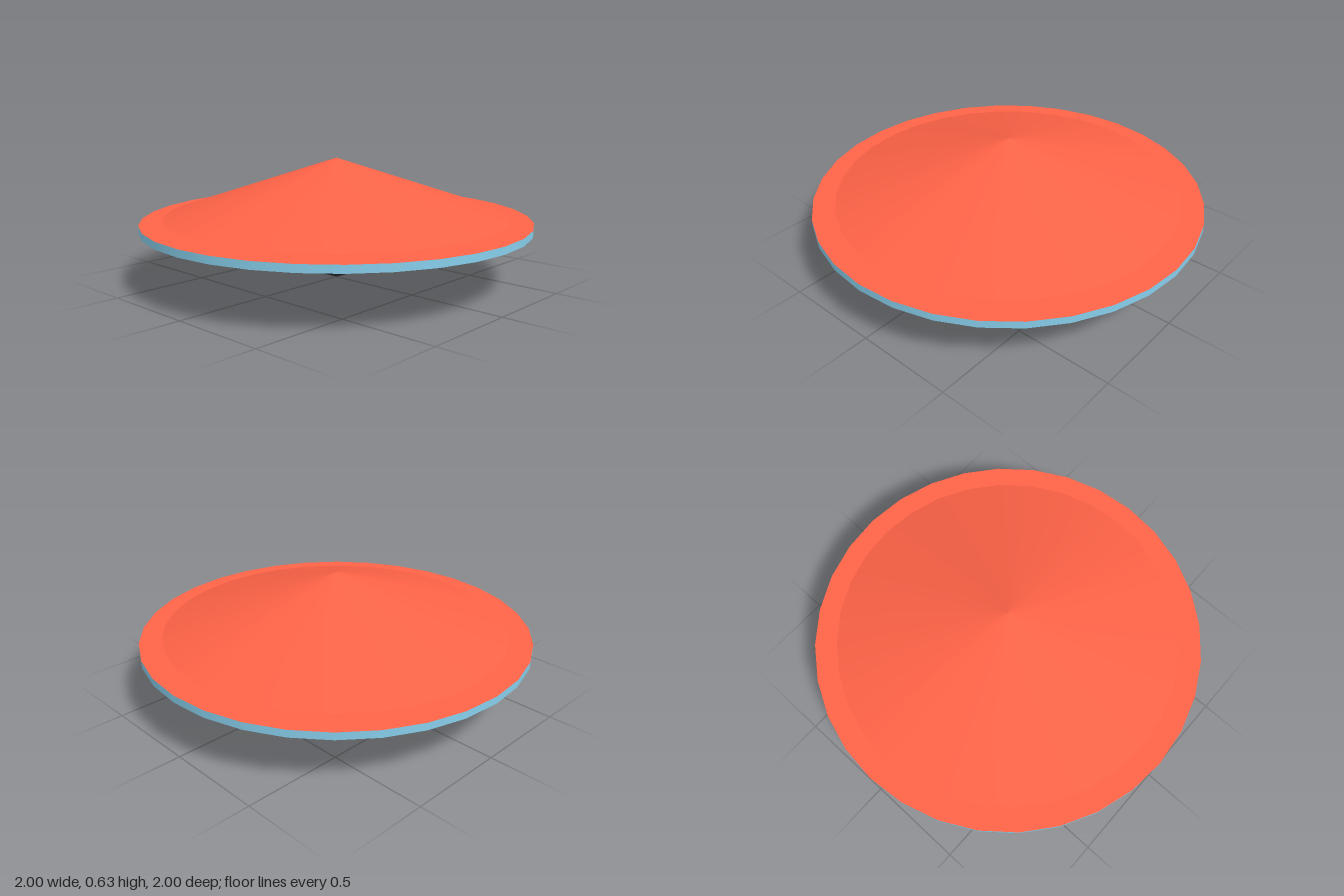
import * as THREE from 'three';

const SIDES = 32;

export function createModel() {
  const group = new THREE.Group();
  const red = new THREE.MeshStandardMaterial({ color: 0xff6347 });
  const blue = new THREE.MeshStandardMaterial({ color: 0x87ceeb });
  const black = new THREE.MeshStandardMaterial({ color: 0x333333 });

  // Adds a round part spanning two heights
  const addRound = (name, rTop, rBottom, y0, y1, material) => {
    const mesh = new THREE.Mesh(
      new THREE.CylinderGeometry(rTop, rBottom, y1 - y0, SIDES), material);
    mesh.name = name;
    mesh.position.y = (y0 + y1) / 2;
    group.add(mesh);
  };

  // Flat disc: blue rim, red top and underside
  addRound('disc', 1, 1, 0.283, 0.32, [blue, red, red]);

  // Dark hub through the disc, showing as a thin collar on both sides
  addRound('hub', 0.675, 0.675, 0.262, 0.336, black);

  // Shallow cone above and pointed cone below
  addRound('upperCone', 0, 0.885, 0.336, 0.63, red);
  addRound('lowerCone', 0.705, 0, 0, 0.262, black);

  return group;
}
